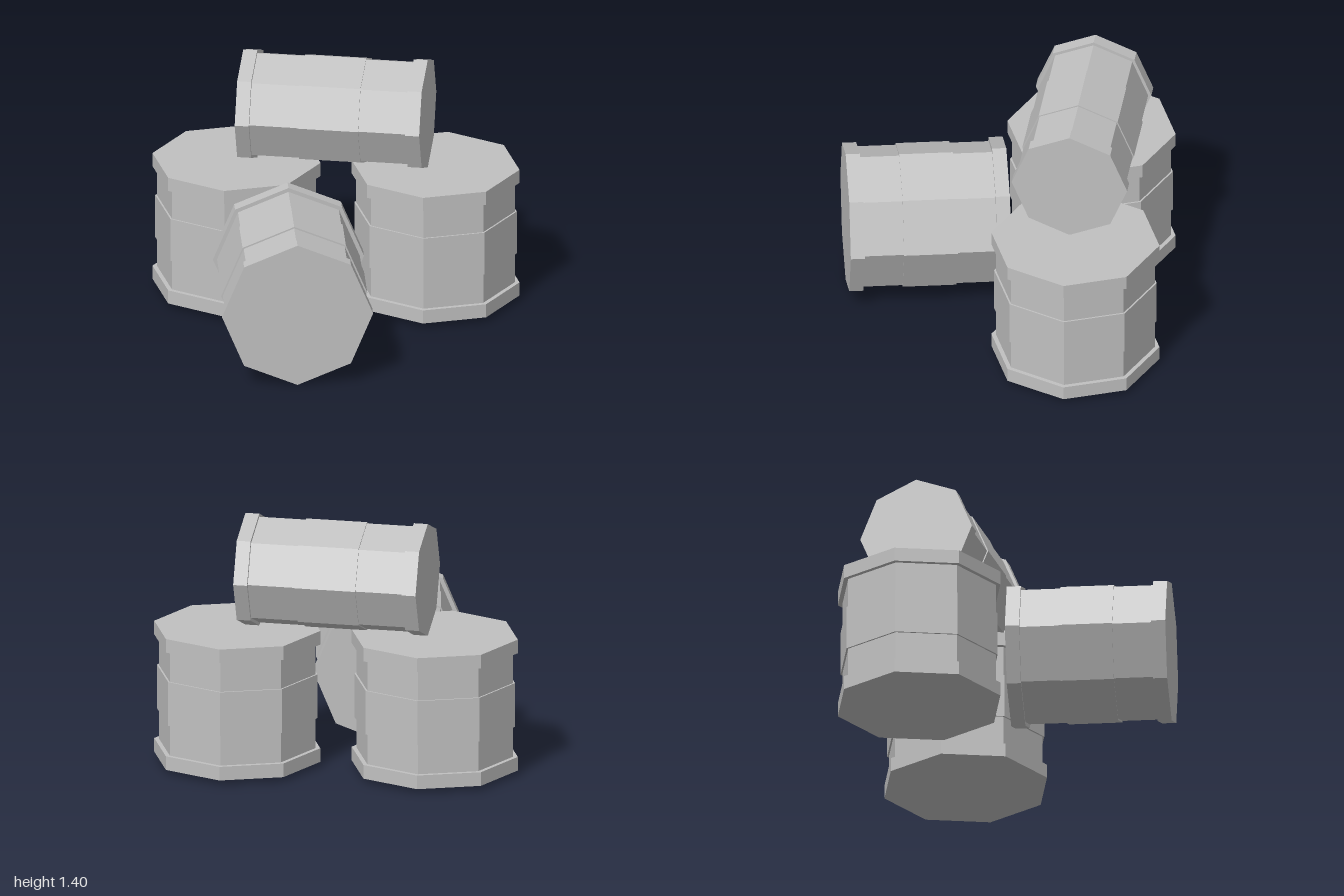
import * as THREE from 'three';

const RIM = 0.077; // rim height, the same on every barrel

// Eight-sided closed barrel: end rims, slim body and a raised middle band
function barrel(name, radius, length, material) {
  const h = length / 2, body = radius * 0.945, band = radius * 0.967;
  const profile = [
    [0, -h], [radius, -h], [radius, -h + RIM],
    [body, -h + RIM], [body, -length / 6], [band, -length / 6],
    [band, length / 6], [body, length / 6], [body, h - RIM],
    [radius, h - RIM], [radius, h], [0, h],
  ].map(([x, y]) => new THREE.Vector2(x, y));
  const mesh = new THREE.Mesh(new THREE.LatheGeometry(profile, 8), material);
  mesh.name = name;
  return mesh;
}

export function createModel() {
  const group = new THREE.Group();
  group.name = 'barrelStack';
  const grey = new THREE.MeshStandardMaterial({ color: 0xc0c0c0, flatShading: true });
  grey.name = 'lightGrey';

  // Two upright barrels at the back
  const right = barrel('rightUprightBarrel', 0.46, 0.74, grey);
  right.position.set(-0.54, 0.396, -0.42);
  const left = barrel('leftUprightBarrel', 0.46, 0.74, grey);
  left.position.set(0.54, 0.396, -0.485);

  // Slim barrel lying across the upright pair
  const top = barrel('topBarrel', 0.316, 1.01, grey);
  top.rotation.z = Math.PI / 2;
  top.position.set(-0.002, 1.08, -0.447);

  // Barrel lying on the ground in front, turned slightly
  const front = barrel('frontLyingBarrel', 0.41, 0.872, grey);
  front.rotation.set(Math.PI / 2, 0.21, 0, 'YXZ');
  front.position.set(-0.107, 0.41, 0.424);

  group.add(right, left, top, front);
  return group;
}
